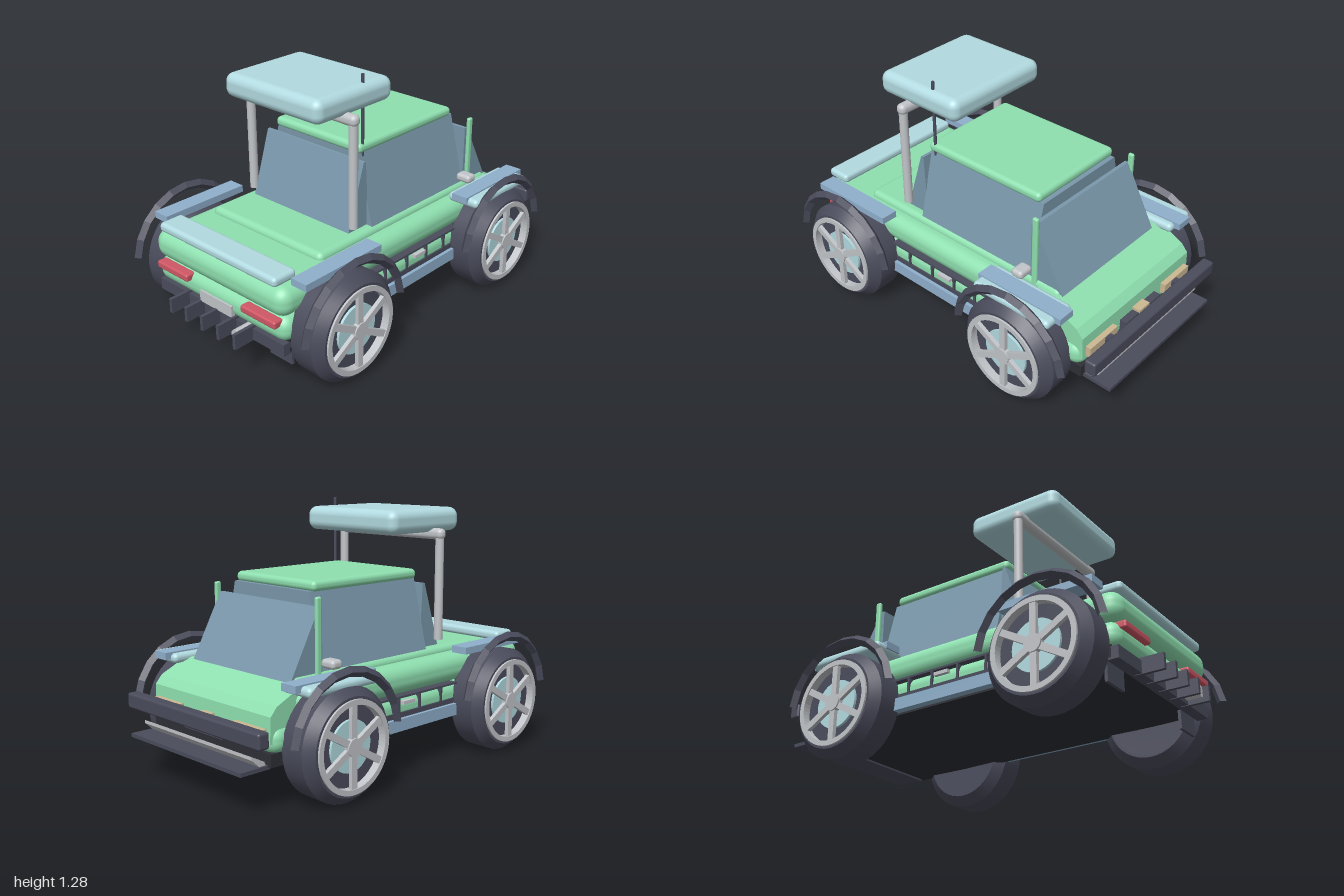
import * as THREE from 'three';
import { toCreasedNormals } from 'three/addons/utils/BufferGeometryUtils.js';
import { RoundedBoxGeometry } from 'three/addons/geometries/RoundedBoxGeometry.js';

const paint = (name, color) => {
  const m = new THREE.MeshStandardMaterial({ color });
  m.name = name;
  return m;
};

export function createModel() {
  const green = paint('green paint', 0x8fe0b0);
  const teal = paint('pale teal', 0xb2dbe1);
  const glass = paint('window glass', 0x7a98ab);
  const blue = paint('blue trim', 0x8fb0cc);
  const dark = paint('dark rubber', 0x4a4c5c);
  const black = paint('black floor', 0x2e3036);
  const grey = paint('light grey metal', 0xc2c5c9);
  const red = paint('red lamp', 0xcf5765);
  const tan = paint('tan lamp', 0xcdb994);

  const car = new THREE.Group();
  car.name = 'car';

  const add = (name, geo, mat, x = 0, y = 0, z = 0, parent = car) => {
    const m = new THREE.Mesh(geo, mat);
    m.name = name;
    m.position.set(x, y, z);
    parent.add(m);
    return m;
  };
  // box given by its limits; r rounds the edges
  const box = (name, mat, [x0, x1], [y0, y1], [z0, z1], r = 0) => {
    const s = [x1 - x0, y1 - y0, z1 - z0];
    const geo = r ? new RoundedBoxGeometry(...s, 4, r) : new THREE.BoxGeometry(...s);
    return add(name, geo, mat, (x0 + x1) / 2, (y0 + y1) / 2, (z0 + z1) / 2);
  };
  const pair = (name, mat, [x0, x1], y, z, r) => {
    box(name + 'Left', mat, [x0, x1], y, z, r);
    box(name + 'Right', mat, [-x1, -x0], y, z, r);
  };
  // side outline of [z, y] points, extruded across the car
  const prism = (name, mat, pts, half) => {
    const shape = new THREE.Shape(pts.map(p => new THREE.Vector2(...p)));
    const geo = new THREE.ExtrudeGeometry(shape, { depth: half * 2, bevelEnabled: false });
    return add(name, geo.translate(0, 0, -half).rotateY(-Math.PI / 2), mat);
  };
  const rod = (name, mat, r, len, x, y, z, axis = 'y', parent = car, n = 24) => {
    const geo = new THREE.CylinderGeometry(r, r, len, n);
    if (axis === 'x') geo.rotateZ(-Math.PI / 2);
    if (axis === 'z') geo.rotateX(Math.PI / 2);
    return add(name, geo, mat, x, y, z, parent);
  };

  // body shell
  box('upperBody', green, [-0.447, 0.447], [0.37, 0.518], [-0.72, 0.91], 0.065);
  box('lowerBody', green, [-0.445, 0.445], [0.245, 0.375], [-0.85, 0.9], 0.058);
  box('deck', green, [-0.37, 0.37], [0.43, 0.55], [-0.66, 0.6], 0.03);
  prism('hood', green, [[-0.55, 0.3], [-0.55, 0.535], [-0.66, 0.53], [-0.81, 0.46],
    [-0.845, 0.42], [-0.85, 0.3]], 0.425);
  box('trunkSpoiler', teal, [-0.395, 0.395], [0.52, 0.568], [0.77, 0.905], 0.02);
  box('floor', black, [-0.43, 0.43], [0.2, 0.26], [-0.85, 0.86]);
  box('floorEdge', dark, [-0.43, 0.43], [0.19, 0.25], [0.84, 0.895]);

  // doors, sills and side struts
  pair('sill', blue, [0.4, 0.47], [0.21, 0.27], [-0.33, 0.36]);
  pair('sillGap', dark, [0.4, 0.452], [0.27, 0.295], [-0.33, 0.36]);
  pair('sideSeam', dark, [0.4, 0.453], [0.365, 0.375], [-0.33, 0.36]);
  for (const z of [0.24, 0.08, -0.07, -0.21])
    pair('sideStrut', dark, [0.4, 0.453], [0.29, 0.37], [z - 0.006, z + 0.006]);
  pair('doorHandle', grey, [0.44, 0.462], [0.333, 0.35], [-0.05, 0.03]);

  // cabin: tapered side glass with a wedge window at each end
  const cabin = new THREE.BoxGeometry(0.72, 0.38, 0.71);
  const p = cabin.attributes.position;
  for (let i = 0; i < p.count; i++) if (p.getY(i) > 0) p.setX(i, p.getX(i) * 0.74);
  cabin.computeVertexNormals();
  add('cabinGlass', cabin, glass, 0, 0.71, -0.122);
  prism('tailWindow', glass, [[0.22, 0.52], [0.37, 0.52], [0.255, 0.875], [0.24, 0.875]], 0.32);
  prism('windshield', glass, [[-0.48, 0.49], [-0.48, 0.84], [-0.5, 0.84], [-0.69, 0.49]], 0.355);
  box('roof', green, [-0.28, 0.28], [0.895, 0.945], [-0.46, 0.24], 0.022);
  pair('pillar', green, [0.35, 0.372], [0.49, 0.89], [-0.526, -0.495], 0.009);
  pair('mirror', grey, [0.35, 0.435], [0.565, 0.608], [-0.49, -0.425], 0.018);

  // roll bar, roof box and antenna
  for (const s of [-1, 1]) {
    rod('rollBarPost', grey, 0.022, 0.54, s * 0.337, 0.85, 0.345);
  }
  box('rollBarTop', grey, [-0.365, 0.365], [1.085, 1.142], [0.318, 0.372], 0.025);
  box('roofBox', teal, [-0.31, 0.307], [1.12, 1.24], [0.03, 0.54], 0.045);
  rod('antenna', dark, 0.008, 0.4, 0.267, 1.08, 0.205, 'y', car, 10);

  // front-facing end: lamps, plate, fins, flaps and exhaust
  pair('tailLamp', red, [0.185, 0.407], [0.33, 0.367], [0.87, 0.925], 0.01);
  box('numberPlate', grey, [-0.112, 0.108], [0.258, 0.316], [0.89, 0.91]);
  for (let i = -2; i <= 2; i++)
    box('diffuserFin', dark, [i * 0.111 - 0.009, i * 0.111 + 0.009], [0.187, 0.262], [0.86, 1]);
  pair('mudFlap', dark, [0.27, 0.412], [0.108, 0.215], [0.815, 0.83]);
  rod('exhaust', grey, 0.028, 0.14, 0.2, 0.235, 0.9, 'z');

  // far end: bumper, splitter and headlamps
  box('bumper', dark, [-0.49, 0.49], [0.31, 0.385], [-0.965, -0.905], 0.012);
  pair('bumperBracket', dark, [0.25, 0.29], [0.32, 0.36], [-0.92, -0.82]);
  box('splitter', dark, [-0.41, 0.41], [0.19, 0.208], [-1, -0.84]);
  prism('splitterWedge', grey, [[-0.86, 0.208], [-0.86, 0.225], [-0.93, 0.26], [-0.93, 0.245], [-0.89, 0.208]], 0.4);
  box('splitterTrim', tan, [-0.4, 0.4], [0.208, 0.216], [-0.87, -0.855]);
  box('grille', dark, [-0.14, 0.14], [0.27, 0.35], [-0.885, -0.84]);
  box('badgePlate', tan, [-0.04, 0.04], [0.335, 0.365], [-0.89, -0.84]);
  pair('headlamp', tan, [0.195, 0.4], [0.31, 0.365], [-0.875, -0.84]);

  // tyre cross-section as [radius, offset along axle]
  const tyreGeo = toCreasedNormals(new THREE.LatheGeometry([
    [0.001, -0.1], [0.2, -0.11], [0.215, -0.11], [0.262, -0.065], [0.264, 0.06],
    [0.225, 0.105], [0.21, 0.105], [0.205, 0.075], [0.001, 0.075],
  ].map(q => new THREE.Vector2(...q)), 40).rotateZ(-Math.PI / 2), 0.45);
  const ring = new THREE.Shape().absarc(0, 0, 0.213, 0, Math.PI * 2);
  ring.holes.push(new THREE.Path().absarc(0, 0, 0.188, 0, Math.PI * 2));
  const rimGeo = new THREE.ExtrudeGeometry(ring, { depth: 0.04, bevelEnabled: false, curveSegments: 32 })
    .rotateY(Math.PI / 2);
  // diamond section wheel arch
  const arc = 2.9;
  const archGeo = new THREE.TorusGeometry(0.315, 0.024, 4, 10, arc)
    .rotateZ((Math.PI - arc) / 2).rotateY(Math.PI / 2).toNonIndexed();
  archGeo.computeVertexNormals();

  for (const [end, z] of [['front', 0.6], ['rear', -0.535]]) {
    for (const s of [1, -1]) {
      const wheel = new THREE.Group();
      wheel.name = end + (s > 0 ? 'LeftWheel' : 'RightWheel');
      wheel.position.set(s * 0.505, 0.264, z);
      if (s < 0) wheel.rotation.y = Math.PI;
      car.add(wheel);
      add('tyre', tyreGeo, dark, 0, 0, 0, wheel);
      add('rim', rimGeo, grey, 0.075, 0, 0, wheel);
      rod('brakeDisc', teal, 0.12, 0.02, 0.078, 0, 0, 'x', wheel, 32);
      rod('hub', grey, 0.042, 0.04, 0.097, 0, 0, 'x', wheel);
      for (let i = 0; i < 3; i++) {
        const spoke = add('spoke', new THREE.BoxGeometry(0.02, 0.39, 0.032), grey, 0.1, 0, 0, wheel);
        spoke.rotation.x = i * Math.PI / 3;
      }
      add(end + 'WheelArch', archGeo, dark, s * 0.578, 0.278, z);
    }
    pair(end + 'FenderPlate', blue, [0.425, 0.515], [0.525, 0.56], [z - 0.25, z + 0.235]);
  }
  // pale fender caps over the far wheels
  pair('fenderCap', teal, [0.39, 0.57], [0.505, 0.553], [-0.755, -0.31], 0.022);

  return car;
}
